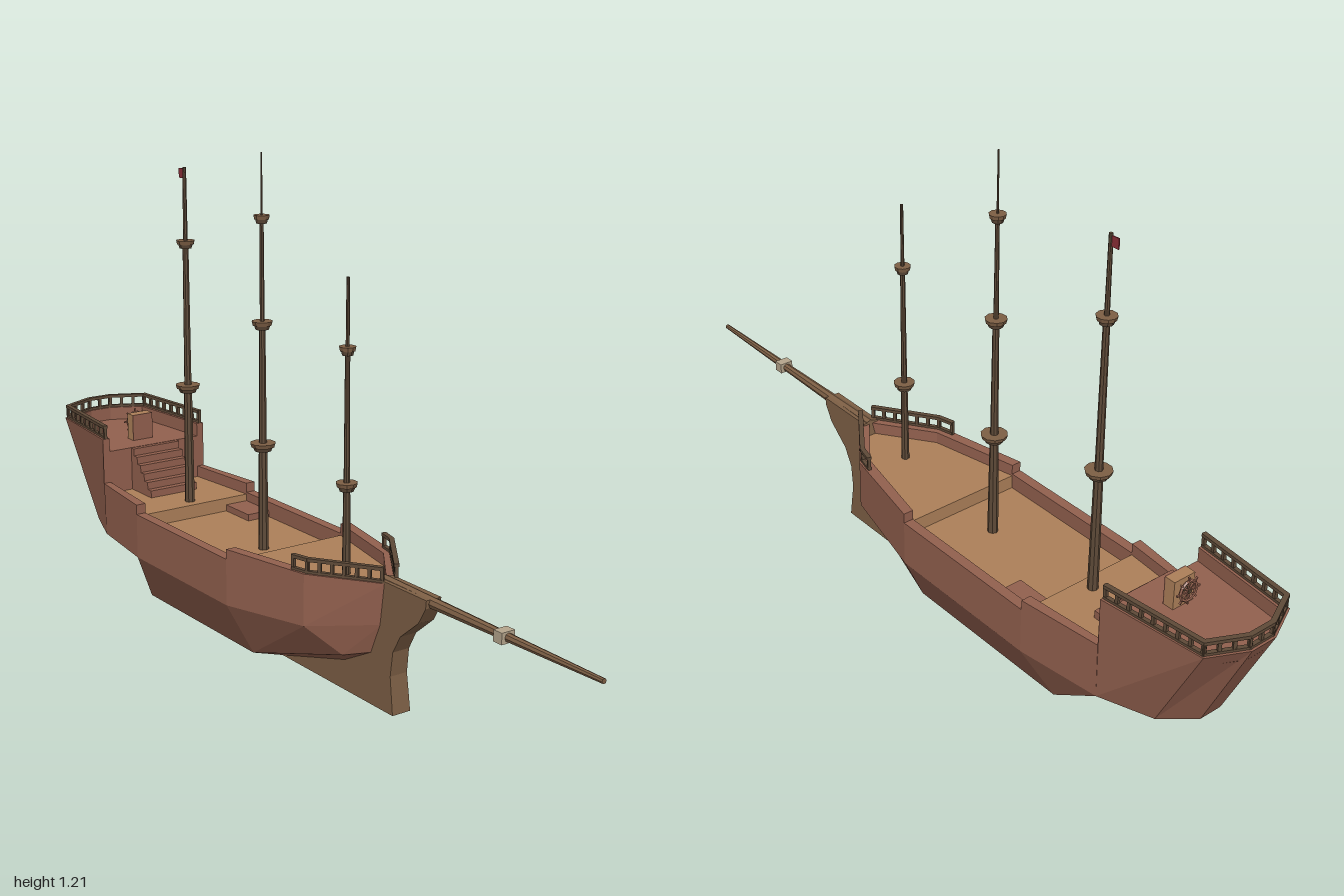
import * as THREE from 'three';

const mat = (color, side = THREE.FrontSide) => new THREE.MeshStandardMaterial({ color, flatShading: true, side });
const BRICK = mat(0x92604e), DECK = mat(0xad8059), DARK = mat(0x5e4a38);
const STEM = mat(0x7d5f45), METAL = mat(0xb5a58c), FLAG = mat(0x8c2f38, THREE.DoubleSide);

function add(parent, name, geometry, material, x = 0, y = 0, z = 0) {
  const mesh = new THREE.Mesh(geometry, material);
  mesh.name = name;
  mesh.position.set(x, y, z);
  parent.add(mesh);
  return mesh;
}
const box = (w, h, d) => new THREE.BoxGeometry(w, h, d);

// Skin between successive cross-sections, optionally closing both ends
function loft(rings, capped) {
  const pos = [];
  const quad = (a, b, c, d) => pos.push(...a, ...b, ...d, ...b, ...c, ...d);
  for (let i = 0; i < rings.length - 1; i++) {
    const p = rings[i], q = rings[i + 1];
    for (let j = 0; j < p.length - 1; j++) quad(p[j], p[j + 1], q[j + 1], q[j]);
  }
  if (capped) {
    const p = rings[0], q = rings[rings.length - 1], n = p.length - 1;
    for (let j = 0; j < (n - 1) / 2; j++) {
      quad(p[j], p[n - j], p[n - j - 1], p[j + 1]);
      quad(q[n - j], q[j], q[j + 1], q[n - j - 1]);
    }
  }
  const g = new THREE.BufferGeometry();
  g.setAttribute('position', new THREE.Float32BufferAttribute(pos, 3));
  g.computeVertexNormals();
  return g;
}

// Half section: keel, chine, waist, gunwale, then bulwark inset (x, z) and deck height
function station(keel, chine, waist, top, inX, inZ, deckY) {
  const inner = [top[0] - inX, top[1], top[2] + inZ];
  return [[inner[0], deckY, inner[2]], inner, top, waist, chine, keel];
}
const mirror = ([x, y, z]) => [-x, y, z];
const fullRing = (half) => [...half, ...half.map(mirror).reverse()];

function hull(group) {
  const fore = 0.27, main = 0.235, poop = 0.385;
  const mid = (top, deck, z, k) => station(
    [0.025, 0.002, k], [0.115, 0.03, k], [0.18, 0.16, z], [0.18, top, z], 0.026, 0, deck);
  const quarter = (top, deck) => station(
    [0.02, 0.14, -0.64], [0.1, 0.16, -0.655], [0.152, 0.16, -0.69], [0.155, top, -0.69], 0.02, 0, deck);
  const stations = [
    station([0.012, 0.11, 0.3], [0.02, 0.125, 0.305], [0.02, 0.2, 0.335], [0.02, 0.3, 0.345], 0.016, -0.025, fore),
    station([0.02, 0.07, 0.2], [0.065, 0.11, 0.25], [0.13, 0.175, 0.19], [0.13, 0.3, 0.19], 0.026, -0.01, fore),
    mid(0.3, fore, -0.055, -0.04),
    mid(0.275, main, -0.055, -0.04),
    mid(0.275, main, -0.475, -0.52),
    mid(0.3, fore, -0.475, -0.52),
    quarter(0.3, fore),
    quarter(0.42, poop),
    station([0.02, 0.16, -0.84], [0.06, 0.16, -0.835], [0.105, 0.16, -0.82], [0.127, 0.42, -0.955], 0.017, 0.012, poop),
    station([0.01, 0.16, -0.88], [0.02, 0.16, -0.88], [0.03, 0.16, -0.88], [0.035, 0.42, -1.0], 0.005, 0.016, poop),
  ];
  add(group, 'hull', loft(stations.map(fullRing), true), BRICK);
  const deckRings = stations.map((s) => [mirror(s[0]), s[0]]);
  add(group, 'deck', loft(deckRings.slice(0, 7)), DECK);
  add(group, 'poopDeck', loft(deckRings.slice(6)), BRICK);
}

// Stem and keel cut from one thick plank
function stem(group) {
  const pts = [[0.49, 0.305], [0.488, 0.285], [0.465, 0.245], [0.405, 0.195], [0.38, 0.15],
    [0.373, 0.09], [0.385, 0], [-0.1, 0], [0.1, 0.06], [0.3, 0.2], [0.32, 0.305]];
  const shape = new THREE.Shape(pts.map(([z, y]) => new THREE.Vector2(z, y)));
  const g = new THREE.ExtrudeGeometry(shape, { depth: 0.042, bevelEnabled: false });
  g.translate(0, 0, -0.021).rotateY(-Math.PI / 2);
  // Spread the foot of the plank a little
  const p = g.attributes.position;
  for (let i = 0; i < p.count; i++) p.setX(i, p.getX(i) * (1.2 - 0.7 * Math.min(p.getY(i), 0.3)));
  g.computeVertexNormals();
  add(group, 'stemAndKeel', g, STEM);
}

function bowsprit(group) {
  const spar = new THREE.CylinderGeometry(0.006, 0.016, 0.68, 8).rotateX(Math.PI / 2);
  add(group, 'bowsprit', spar, STEM, 0, 0.295, 0.66);
  add(group, 'bowspritCap', box(0.036, 0.026, 0.026), METAL, 0, 0.295, 0.715);
}

// Stepped pole; each platform is [height, radius] and the pole thins above it
function mast(group, name, z, baseY, topY, radius, platforms) {
  const m = new THREE.Group();
  m.name = name;
  m.position.z = z;
  group.add(m);
  const levels = [baseY, ...platforms.map((p) => p[0]), topY];
  for (let i = 0; i < levels.length - 1; i++) {
    const h = levels[i + 1] - levels[i], r = radius * (1 - 0.27 * i);
    add(m, 'pole', new THREE.CylinderGeometry(r * 0.8, r, h, 8), DARK, 0, levels[i] + h / 2, 0);
  }
  for (const [y, r] of platforms) {
    add(m, 'platform', new THREE.CylinderGeometry(r, r * 0.9, 0.01, 10), STEM, 0, y + 0.004, 0);
    add(m, 'platformBase', new THREE.CylinderGeometry(r * 0.78, r * 0.65, 0.01, 10), DARK, 0, y - 0.006, 0);
  }
  return m;
}

// Balustrade along a path of [x, z] points
function railing(group, name, path, y, height) {
  const r = new THREE.Group();
  r.name = name;
  group.add(r);
  for (let i = 0; i < path.length - 1; i++) {
    const a = new THREE.Vector3(path[i][0], y, path[i][1]);
    const b = new THREE.Vector3(path[i + 1][0], y, path[i + 1][1]);
    const len = a.distanceTo(b), n = Math.max(1, Math.round(len / 0.032));
    const angle = Math.atan2(b.x - a.x, b.z - a.z), c = a.clone().lerp(b, 0.5);
    add(r, 'topBar', box(0.012, 0.008, len + 0.006), DARK, c.x, y + height - 0.004, c.z).rotation.y = angle;
    add(r, 'lowBar', box(0.01, 0.006, len + 0.004), DARK, c.x, y + 0.004, c.z).rotation.y = angle;
    for (let k = 0; k <= n; k++) {
      const p = a.clone().lerp(b, k / n);
      add(r, 'post', box(0.008, height, 0.008), DARK, p.x, y + height / 2, p.z).rotation.y = angle;
    }
  }
}

export function createModel() {
  const ship = new THREE.Group();
  ship.name = 'sailingShip';
  hull(ship);
  stem(ship);
  bowsprit(ship);

  mast(ship, 'foreMast', 0.175, 0.27, 0.96, 0.01, [[0.48, 0.026], [0.795, 0.02]]);
  mast(ship, 'mainMast', -0.165, 0.235, 1.205, 0.013, [[0.497, 0.032], [0.797, 0.026], [1.05, 0.02]]);
  const mizzen = mast(ship, 'mizzenMast', -0.51, 0.27, 1.14, 0.013, [[0.575, 0.032], [0.948, 0.024]]);
  add(mizzen, 'flag', box(0.003, 0.024, 0.02), FLAG, 0, 1.124, -0.014);

  // Railings at the bow and round the stern
  for (const s of [-1, 1]) {
    railing(ship, 'bowRailing', [[s * 0.13, 0.15], [s * 0.12, 0.19], [s * 0.02, 0.335]], 0.3, 0.037);
  }
  const half = [[0.145, -0.695], [0.12, -0.948], [0.033, -0.99]];
  railing(ship, 'sternRailing', [...half, ...half.map(([x, z]) => [-x, z]).reverse()], 0.42, 0.036);

  // Stairs up to the poop deck
  for (let i = 0; i < 6; i++) {
    const h = 0.019 * (i + 1), d = 0.105 - i * 0.0175;
    add(ship, 'stair', box(0.14, h, d), BRICK, 0, 0.27 + h / 2, -0.695 + d / 2);
  }
  // Step beside the rail up to the aft deck
  add(ship, 'sideStep', box(0.064, 0.018, 0.105), BRICK, 0.122, 0.243, -0.422);

  // Steering stand and wheel
  add(ship, 'steeringStand', box(0.06, 0.07, 0.026), DECK, 0, 0.42, -0.765);
  add(ship, 'steeringStandFront', box(0.06, 0.07, 0.004), BRICK, 0, 0.42, -0.751);
  add(ship, 'wheelAxle', box(0.008, 0.008, 0.02), DARK, 0, 0.428, -0.785);
  add(ship, 'wheelRim', new THREE.TorusGeometry(0.024, 0.004, 5, 10), BRICK, 0, 0.428, -0.79);
  for (let i = 0; i < 4; i++) {
    add(ship, 'wheelSpoke', box(0.068, 0.004, 0.004), BRICK, 0, 0.428, -0.79).rotation.z = i * Math.PI / 4;
  }
  return ship;
}
